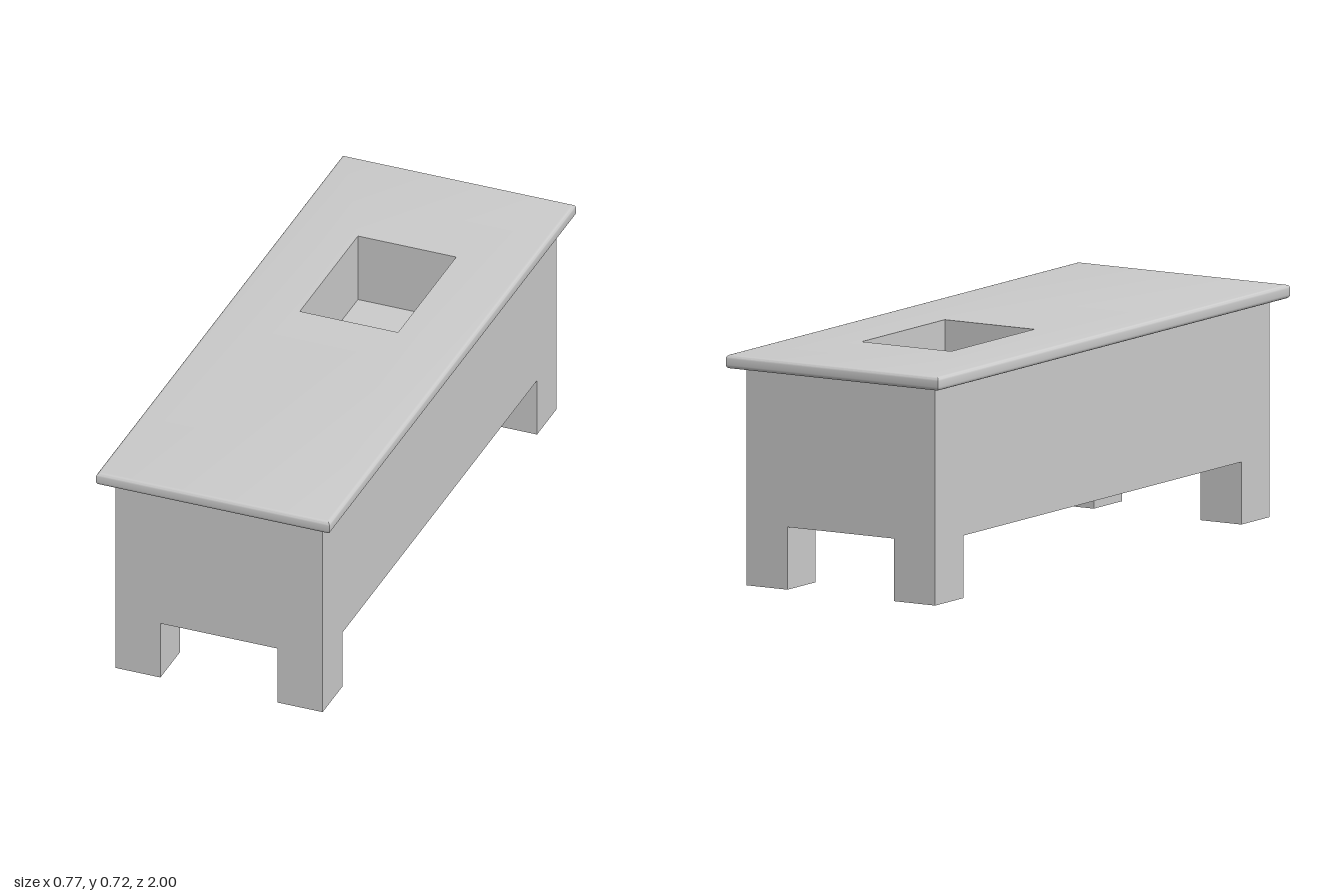
import * as THREE from 'three';
import { toCreasedNormals } from 'three/addons/utils/BufferGeometryUtils.js';

// Skin a chain of rectangular rings [x0, x1, z0, z1, y]
function loft(rings) {
  const corners = ([x0, x1, z0, z1, y]) =>
    [[x1, z1], [x1, z0], [x0, z0], [x0, z1]].map(([x, z]) => new THREE.Vector3(x, y, z));
  const points = [];
  const tri = (a, b, c) => {
    if (a.equals(b) || b.equals(c) || a.equals(c)) return;
    points.push(a, b, c);
  };
  for (let r = 0; r < rings.length - 1; r++) {
    const low = corners(rings[r]), high = corners(rings[r + 1]);
    for (let i = 0; i < 4; i++) {
      const j = (i + 1) % 4;
      tri(low[i], low[j], high[j]);
      tri(low[i], high[j], high[i]);
    }
  }
  return toCreasedNormals(new THREE.BufferGeometry().setFromPoints(points), 0.6);
}

const centred = (hx, hz, y) => [-hx, hx, -hz, hz, y];

export function createModel() {
  const group = new THREE.Group();
  const material = new THREE.MeshStandardMaterial({ color: 0xcccccc });
  const add = (name, geometry) => {
    const mesh = new THREE.Mesh(geometry, material);
    mesh.name = name;
    group.add(mesh);
    return mesh;
  };

  const halfX = 0.385, halfZ = 1, under = 0.675, top = 0.718;
  const bodyX = 0.342, bodyZ = 0.95, innerX = 0.193, innerZ = 0.79, legH = 0.194;

  // Worktop with rounded long edges and a rectangular opening
  const hole = (y, grow = 0) => [-0.162 - grow, 0.162 + grow, -0.577 - grow, -0.105 + grow, y];
  const radius = 0.012, steps = 4;
  const edge = [];
  for (const [yc, start] of [[under + radius, -Math.PI / 2], [top - radius, 0]]) {
    for (let i = 0; i <= steps; i++) {
      const a = start + (i / steps) * Math.PI / 2;
      const inset = radius * (1 - Math.cos(a));
      edge.push(centred(halfX - inset, halfZ - inset, yc + radius * Math.sin(a)));
    }
  }
  add('worktop', loft([hole(under), ...edge, hole(top)]));

  // Sunken basin: inside walls and floor, then its outer shell
  const floorY = 0.49, shellY = 0.476;
  const middle = (y) => [0, 0, -0.341, -0.341, y];
  add('basinInside', loft([hole(top), hole(floorY), middle(floorY)]));
  add('basinShell', loft([middle(shellY), hole(shellY, 0.003), hole(under, 0.003)]));

  // Hollow body, open below, with thick walls
  add('body', loft([
    centred(0.167, innerZ, under),
    centred(innerX, innerZ, legH),
    centred(bodyX, bodyZ, legH),
    centred(bodyX, bodyZ, under),
  ]));

  // Four square corner legs
  const legX = bodyX - innerX, legZ = bodyZ - innerZ;
  for (const sx of [-1, 1]) {
    for (const sz of [-1, 1]) {
      const name = (sz > 0 ? 'front' : 'back') + (sx > 0 ? 'Left' : 'Right') + 'Leg';
      add(name, new THREE.BoxGeometry(legX, legH, legZ))
        .position.set(sx * (innerX + legX / 2), legH / 2, sz * (innerZ + legZ / 2));
    }
  }
  return group;
}
